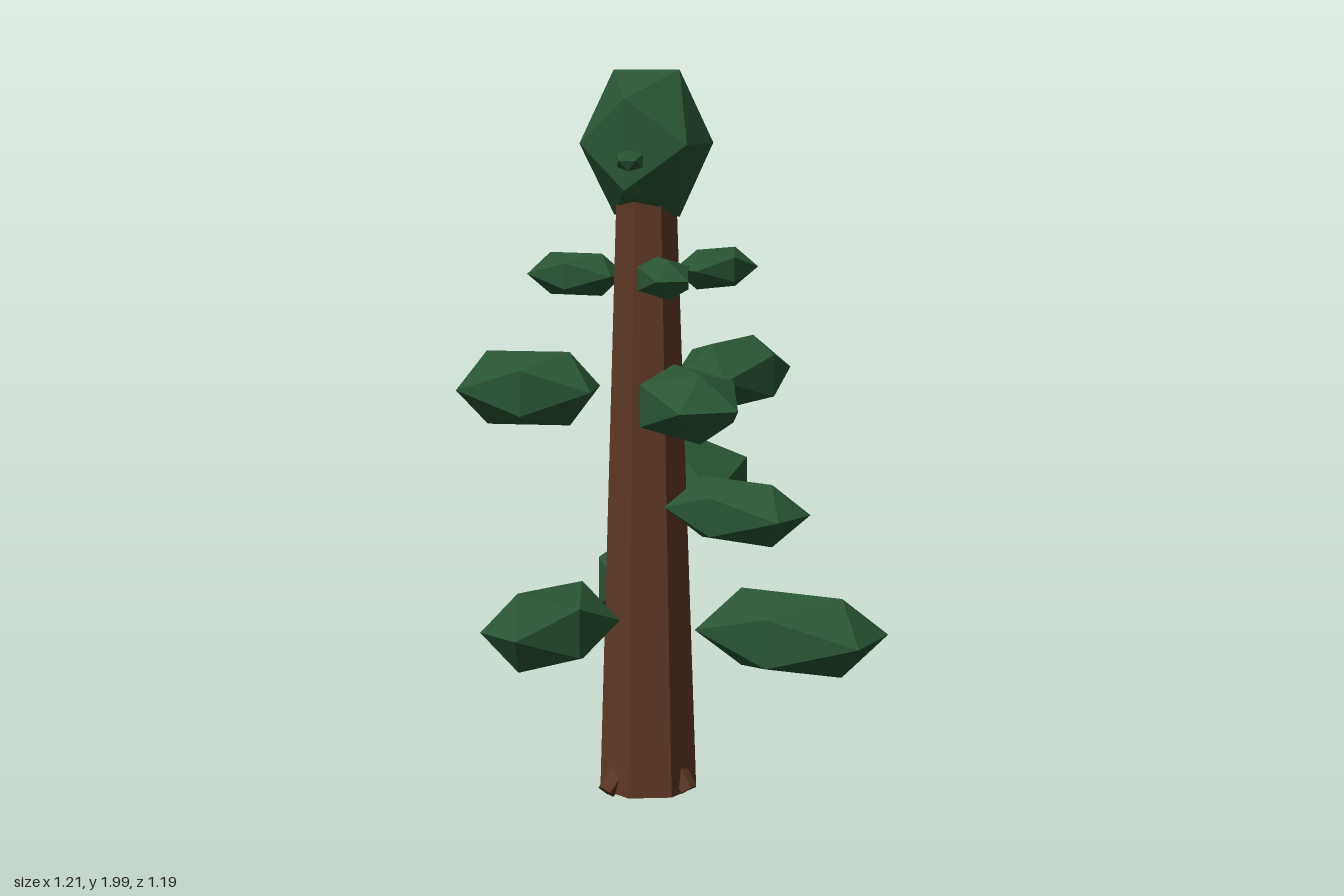
import * as THREE from 'three';

const BARK = new THREE.MeshStandardMaterial({ color: 0x5c3826, flatShading: true });
const LEAF = new THREE.MeshStandardMaterial({ color: 0x2a5535, flatShading: true });

// Faceted foliage clump: centre, outward heading (dx, dz), and length / height / width radii
function clump(name, [x, y, z], [dx, dz], [length, height, width]) {
  const mesh = new THREE.Mesh(new THREE.IcosahedronGeometry(1, 0), LEAF);
  mesh.name = name;
  mesh.position.set(x, y, z);
  mesh.scale.set(length, height, width);
  mesh.rotation.y = Math.atan2(-dz, dx);
  return mesh;
}

// Tapered stub running between two points
function stub(name, from, to, r0, r1) {
  const a = new THREE.Vector3(...from), b = new THREE.Vector3(...to);
  const dir = b.clone().sub(a);
  const mesh = new THREE.Mesh(new THREE.CylinderGeometry(r1, r0, dir.length(), 5), BARK);
  mesh.name = name;
  mesh.position.copy(a).add(b).multiplyScalar(0.5);
  mesh.quaternion.setFromUnitVectors(new THREE.Vector3(0, 1, 0), dir.normalize());
  return mesh;
}

export function createModel() {
  const tree = new THREE.Group();
  tree.name = 'tree';
  const cx = -0.072, cz = 0.13;

  // Seven-sided tapering trunk
  const trunk = new THREE.Mesh(new THREE.CylinderGeometry(0.08, 0.137, 1.73, 7), BARK);
  trunk.name = 'trunk';
  trunk.position.set(cx, 0.02 + 1.73 / 2, cz);
  tree.add(trunk);

  // Root stubs sloping down and outwards
  for (const [dx, dz, reach] of [[-0.5, 0.87, 0.145], [0.98, 0.2, 0.135], [-0.17, -0.98, 0.165]]) {
    tree.add(stub('root',
      [cx + dx * 0.09, 0.09, cz + dz * 0.09],
      [cx + dx * reach, 0.028, cz + dz * reach], 0.03, 0.026));
  }

  // Crown and the tiny clumps poking out of it
  tree.add(clump('crown', [cx, 1.805, 0.125], [1, 0], [0.182, 0.229, 0.182]));
  tree.add(clump('crownBud', [-0.055, 1.765, 0.28], [0.13, 0.99], [0.035, 0.032, 0.042]));
  tree.add(clump('crownBud', [-0.22, 1.77, 0.1], [-0.97, -0.2], [0.035, 0.03, 0.035]));

  // Foliage tiers, bottom to top
  const tiers = {
    lowerFoliage: [
      [[0.355, 0.5, 0.145], [0.99, 0.1], [0.285, 0.127, 0.185]],
      [[-0.24, 0.52, 0.4], [-0.42, 0.9], [0.215, 0.127, 0.14]],
      [[-0.24, 0.525, -0.22], [-0.52, -0.85], [0.245, 0.129, 0.145]],
    ],
    middleFoliage: [
      [[-0.145, 0.812, -0.315], [-0.28, -0.96], [0.3, 0.127, 0.22]],
      [[0.235, 0.842, 0.245], [0.96, 0.27], [0.22, 0.098, 0.14]],
    ],
    upperFoliage: [
      [[-0.4, 1.132, 0.19], [-0.97, 0.24], [0.22, 0.12, 0.14]],
      [[0.145, 1.143, 0.375], [0.64, 0.77], [0.21, 0.106, 0.15]],
      [[0.05, 1.147, -0.21], [0.13, -0.99], [0.235, 0.112, 0.155]],
    ],
    topFoliage: [
      [[-0.285, 1.445, 0.12], [-1, 0], [0.147, 0.068, 0.095]],
      [[0.055, 1.457, -0.065], [0.42, -0.91], [0.14, 0.064, 0.085]],
      [[0.045, 1.46, 0.295], [0.57, 0.82], [0.13, 0.06, 0.08]],
    ],
  };
  for (const [name, clumps] of Object.entries(tiers)) {
    for (const spec of clumps) tree.add(clump(name, ...spec));
  }
  return tree;
}
